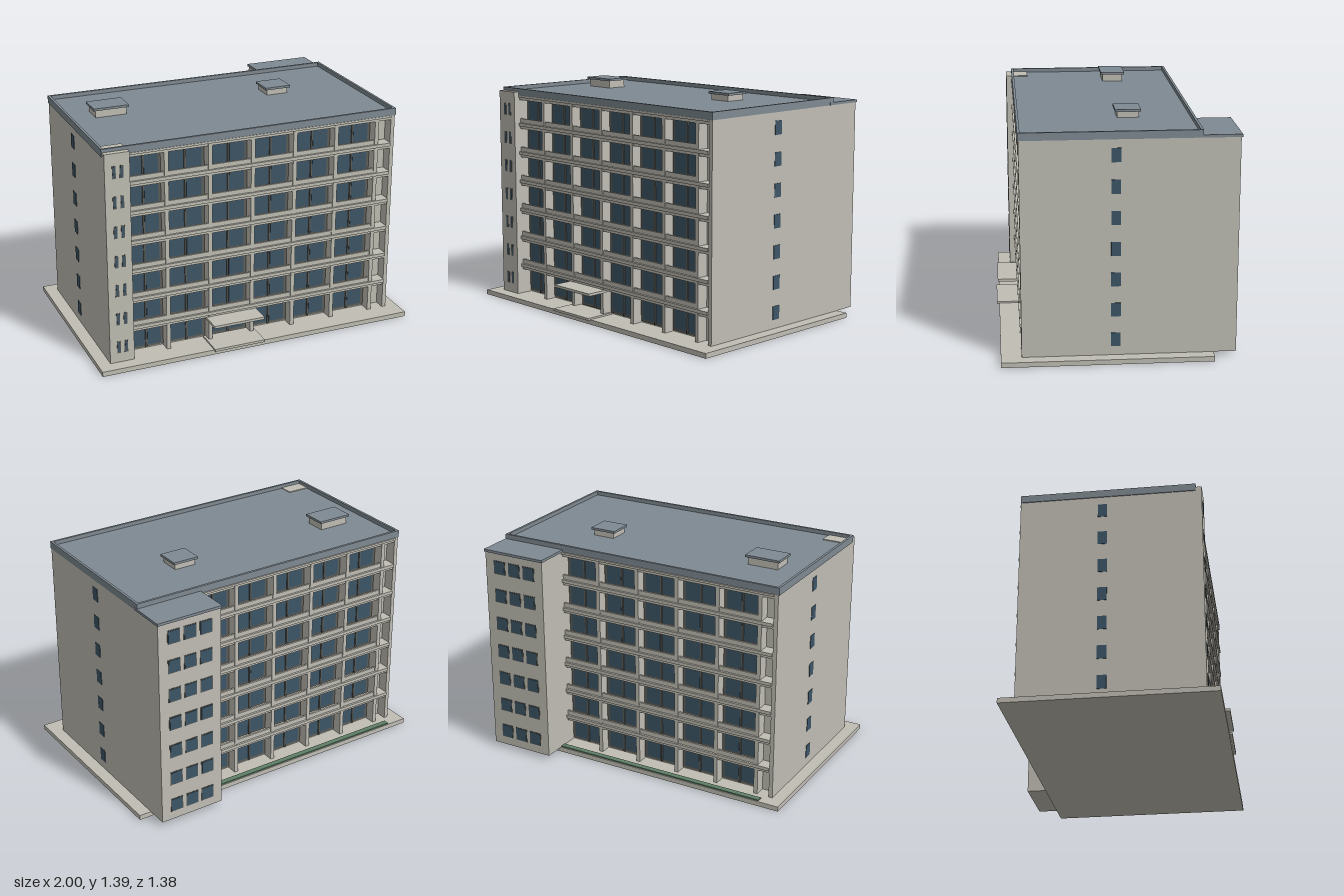
import * as THREE from 'three';

const mat = (name, color) => {
  const m = new THREE.MeshStandardMaterial({ color });
  m.name = name;
  return m;
};

export function createModel() {
  const concrete = mat('concrete', 0xbfbdb3);
  const roofGrey = mat('roof grey', 0x7f8a92);
  const frameGrey = mat('frame grey', 0x5d5d58);
  const glass = mat('window glass', 0x3d5566);
  const green = mat('lawn green', 0x5f7f68);

  const model = new THREE.Group();
  model.name = 'apartmentBlock';

  // Box given by its limits on each axis; z limits may be in either order
  const box = (parent, name, m, x0, x1, y0, y1, z0, z1) => {
    const mesh = new THREE.Mesh(new THREE.BoxGeometry(x1 - x0, y1 - y0, Math.abs(z1 - z0)), m);
    mesh.position.set((x0 + x1) / 2, (y0 + y1) / 2, (z0 + z1) / 2);
    mesh.name = name;
    parent.add(mesh);
    return mesh;
  };
  const group = (name) => {
    const g = new THREE.Group();
    g.name = name;
    model.add(g);
    return g;
  };

  const FLOORS = 7, PITCH = 0.1825, GROUND = 0.03, TOP = 1.31;
  const floorY = (i) => GROUND + i * PITCH;

  // Ground plate, lawn strip and main volume
  box(model, 'basePlate', concrete, -1, 1, 0, GROUND, -0.555, 0.675);
  box(model, 'lawnStrip', green, -0.87, 0.515, GROUND, 0.038, -0.55, -0.515);
  box(model, 'core', concrete, -0.91, 0.91, GROUND, TOP, -0.405, 0.485);
  for (const s of [-1, 1]) {
    const x0 = s > 0 ? 0.9 : -0.925;
    box(model, 'endWall', concrete, x0, x0 + 0.025, GROUND, TOP, -0.475, 0.555);
  }

  // Loggia facade: s is the facing direction, columns are bay dividers
  const facade = (name, s, face, columns, bays, xa, xb) => {
    const g = group(name);
    const back = face - s * 0.07;
    for (const x of columns) {
      box(g, 'column', concrete, x - 0.0125, x + 0.0125, GROUND, TOP, back, face);
    }
    for (let i = 0; i <= FLOORS; i++) {
      const y = floorY(i);
      if (i > 0) {
        const top = Math.min(y + 0.012, 1.312);
        box(g, 'slab', concrete, xa, xb, y - 0.008, top, back, face + s * 0.008);
        box(g, 'beam', concrete, xa, xb, y - 0.025, y - 0.008, back, face - s * 0.003);
      }
      if (i === FLOORS) break;
      for (const [a, b] of bays) {
        // Balcony front
        if (i > 0) box(g, 'balconyFront', concrete, a, b, y + 0.012, y + 0.04, face - s * 0.017, face - s * 0.005);
        // Window frame with two panes
        box(g, 'windowFrame', frameGrey, a, b, y + 0.008, y + 0.158, back, back + s * 0.006);
        const mid = (a + b) / 2, w = (b - a) / 2;
        for (const c of [mid - w * 0.46, mid + w * 0.46]) {
          box(g, 'windowPane', glass, c - w * 0.39, c + w * 0.39, y + 0.022, y + 0.148, back + s * 0.006, back + s * 0.009);
        }
        box(g, 'mullion', frameGrey, mid - 0.005, mid + 0.005, y + 0.008, y + 0.158, back, back + s * 0.014);
      }
    }
  };

  const columns = [-0.543, -0.273, -0.003, 0.267, 0.537, 0.807];
  const between = (edges) => edges.slice(1).map((e, i) => [edges[i] + 0.0125, e - 0.0125]);
  facade('frontFacade', 1, 0.555, columns, between([-0.787, ...columns]), -0.775, 0.9);
  const backColumns = [-0.813, ...columns.slice(0, 4)];
  facade('backFacade', -1, -0.475, backColumns, between([...backColumns, 0.5275]), -0.9, 0.515);

  // Front stair tower with paired slit windows
  const frontTower = group('frontTower');
  box(frontTower, 'towerBody', concrete, -0.925, -0.775, GROUND, 1.335, 0.455, 0.595);
  // Back stair tower with three windows per floor
  const backTower = group('backTower');
  box(backTower, 'towerBody', concrete, 0.517, 0.925, GROUND, TOP, -0.688, -0.4);
  box(backTower, 'towerRoof', roofGrey, 0.512, 0.93, TOP, 1.326, -0.695, -0.445);

  // Tower and gable windows on every floor
  for (let i = 0; i < FLOORS; i++) {
    const y = floorY(i);
    for (const x of [-0.87, -0.825]) {
      box(frontTower, 'slitFrame', frameGrey, x - 0.011, x + 0.011, y + 0.06, y + 0.136, 0.595, 0.597);
      box(frontTower, 'slitPane', glass, x - 0.007, x + 0.007, y + 0.065, y + 0.131, 0.597, 0.598);
    }
    for (const x of [0.615, 0.72, 0.825]) {
      box(backTower, 'windowFrame', frameGrey, x - 0.041, x + 0.041, y + 0.053, y + 0.139, -0.688, -0.690);
      box(backTower, 'windowPane', glass, x - 0.036, x + 0.036, y + 0.058, y + 0.134, -0.690, -0.692);
    }
    for (const s of [-1, 1]) {
      const x0 = s > 0 ? 0.924 : -0.928;
      box(model, 'gableWindow', glass, x0, x0 + 0.004, y + 0.054, y + 0.136, -0.015, 0.04);
    }
  }

  // Flat roof with a raised parapet
  const roof = group('roof');
  box(roof, 'roofDeck', roofGrey, -0.925, 0.925, TOP, 1.33, -0.47, 0.552);
  box(roof, 'parapetFront', roofGrey, -0.93, 0.928, TOP, 1.355, 0.545, 0.56);
  box(roof, 'parapetBack', roofGrey, -0.93, 0.928, TOP, 1.355, -0.475, -0.46);
  for (const x of [-0.93, 0.913]) {
    box(roof, 'parapetSide', roofGrey, x, x + 0.015, TOP, 1.355, -0.46, 0.545);
  }
  // Rooftop vents with overhanging caps
  for (const [x0, x1, top] of [[-0.78, -0.56, 1.39], [0.335, 0.5, 1.38]]) {
    box(roof, 'ventBody', concrete, x0 + 0.014, x1 - 0.014, 1.325, top - 0.014, -0.158, -0.03);
    box(roof, 'ventCap', roofGrey, x0, x1, top - 0.014, top, -0.17, -0.018);
  }

  // Entrance canopy and step
  const entrance = group('entrance');
  box(entrance, 'canopy', concrete, -0.3, 0.025, 0.174, 0.19, 0.54, 0.682);
  box(entrance, 'entranceStep', concrete, -0.3, 0.025, 0.025, 0.04, 0.5, 0.69);

  return model;
}
